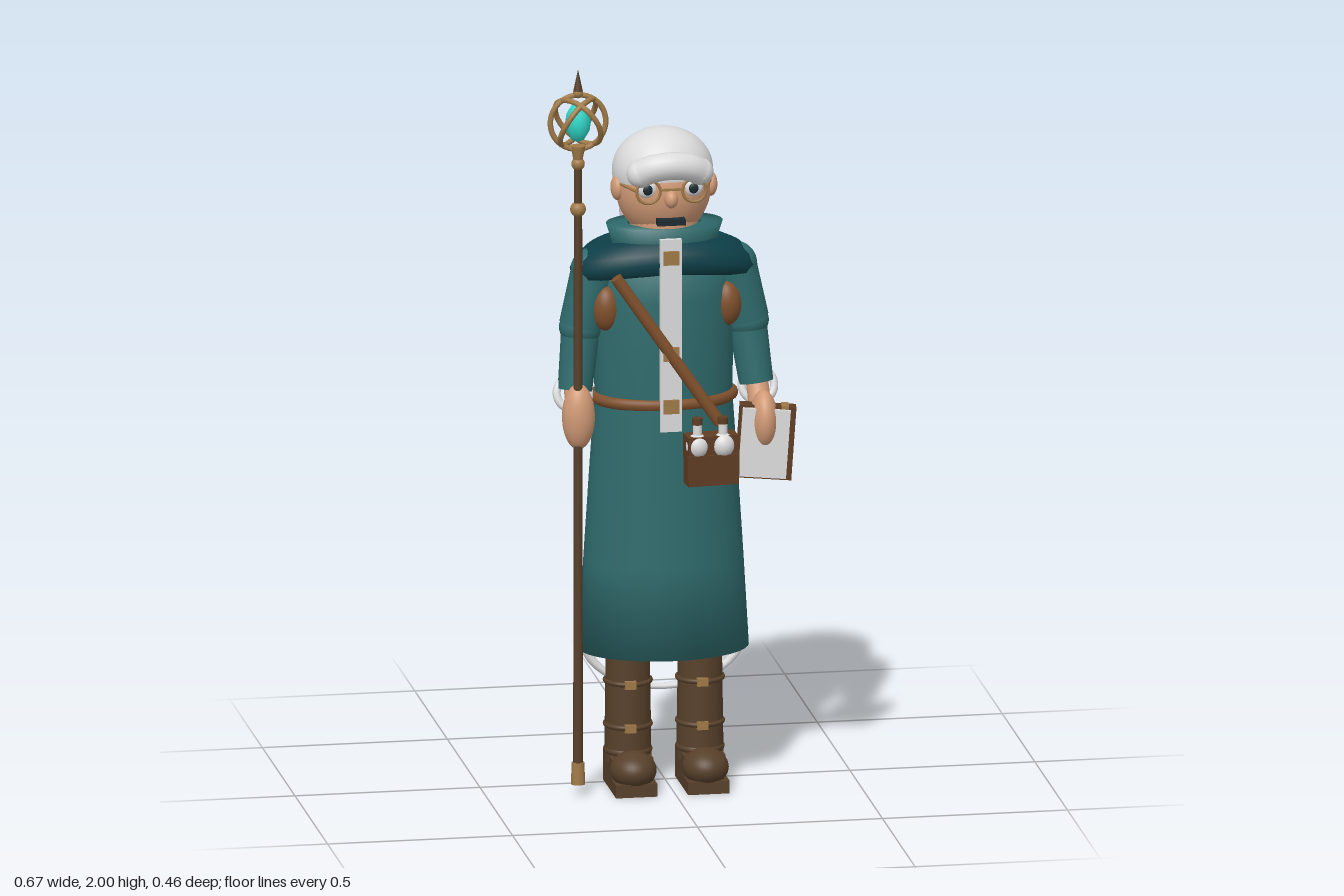
import * as THREE from 'three';

const mat = (name, color) => new THREE.MeshStandardMaterial({ name, color });
const M = {
  teal: mat('robe teal', 0x2f6a6c), dark: mat('mantle teal', 0x0d3f48),
  white: mat('white', 0xdcdcdc), skin: mat('skin', 0xd19a76),
  leather: mat('leather', 0x80502c), brown: mat('dark brown', 0x57402a),
  satchel: mat('satchel brown', 0x5f3d23), gold: mat('brass', 0xa07a48),
  cyan: mat('crystal', 0x30d8c8), black: mat('dark', 0x1c2a30),
};
M.teal.side = M.dark.side = THREE.DoubleSide;

export function createModel() {
  const root = new THREE.Group();
  const V = (a) => new THREE.Vector3(...a);
  const add = (name, geo, m, pos = [0, 0, 0], rot = [0, 0, 0], scl = [1, 1, 1], parent = root) => {
    const o = new THREE.Mesh(geo, m);
    o.name = name;
    o.position.set(...pos);
    o.rotation.set(...rot);
    o.scale.set(...scl);
    parent.add(o);
    return o;
  };
  const box = (name, size, m, pos, rot) => add(name, new THREE.BoxGeometry(...size), m, pos, rot);
  const ball = (name, r, m, pos, rot) => add(name, new THREE.SphereGeometry(1, 32, 20), m, pos, rot, r);
  const cyl = (name, rt, rb, h, m, pos, rot, scl) =>
    add(name, new THREE.CylinderGeometry(rt, rb, h, 32), m, pos, rot, scl);
  const ring = (name, R, t, m, pos, rot, scl) =>
    add(name, new THREE.TorusGeometry(R, t, 10, 40), m, pos, rot, scl);
  const lathe = (name, pts, m, pos, zs) =>
    add(name, new THREE.LatheGeometry(pts.map((p) => new THREE.Vector2(...p)), 48), m, pos, [0, 0, 0], [1, 1, zs]);
  // tapered limb between two points
  const limb = (name, a, b, ra, rb, m) => {
    const d = V(b).sub(V(a));
    const o = cyl(name, rb, ra, d.length(), m, V(a).add(V(b)).multiplyScalar(0.5).toArray());
    o.quaternion.setFromUnitVectors(new THREE.Vector3(0, 1, 0), d.normalize());
    return o;
  };

  // Robe
  const cx = -0.008;
  lathe('robeSkirt', [[0, 0.375], [0.229, 0.375], [0.215, 0.62], [0.197, 0.9], [0.185, 1.07]], M.teal, [cx, 0, 0.022], 0.73);
  lathe('robeTorso', [[0.185, 1.07], [0.187, 1.2], [0.183, 1.35], [0.165, 1.46], [0, 1.5]], M.teal, [cx, 0, 0.022], 0.7);
  lathe('collar', [[0.14, 1.47], [0.142, 1.5], [0.157, 1.548], [0.1, 1.548]], M.teal, [cx, 0, 0.035], 0.63);
  ring('beltStrap', 0.185, 0.016, M.leather, [cx, 1.07, 0.022], [Math.PI / 2, 0, 0], [1, 0.7, 1]);
  ring('hemHoop', 0.217, 0.013, M.white, [cx, 0.41, 0.02], [0, 0, 0], [1, 0.68, 1]);

  // Mantle, drooping towards the shoulders
  const mantle = lathe('mantle', [[0.14, 1.5], [0.17, 1.515], [0.21, 1.505], [0.24, 1.485], [0.252, 1.46],
    [0.245, 1.435], [0.22, 1.425], [0.15, 1.43]], M.dark, [cx, 0, 0.02], 0.54);
  const mp = mantle.geometry.attributes.position;
  for (let i = 0; i < mp.count; i++) {
    mp.setY(i, mp.getY(i) - 0.6 * mp.getX(i) ** 2);
  }
  mantle.geometry.computeVertexNormals();

  // Front stole with clasps, and the satchel strap
  box('stole', [0.058, 0.53, 0.014], M.white, [-0.012, 1.265, 0.156]);
  for (const y of [1.48, 1.215, 1.07]) box('clasp', [0.042, 0.038, 0.016], M.gold, [-0.012, y, 0.162]);
  const strap = limb('satchelStrap', [-0.16, 1.43, 0.15], [0.12, 1.02, 0.16], 0.016, 0.016, M.leather);
  strap.position.z += 0.006;

  // Cape and long hair behind
  cyl('cape', 0.125, 0.148, 0.525, M.dark, [cx, 1.198, -0.157], [0.02, 0, 0], [1, 1, 0.47]);
  cyl('backHair', 0.1, 0.07, 0.36, M.white, [cx, 1.42, -0.115], [0, 0, 0], [1, 1, 0.76]);

  // Head
  ball('head', [0.128, 0.14, 0.122], M.skin, [cx, 1.642, 0.018]);
  cyl('neck', 0.09, 0.09, 0.1, M.skin, [cx, 1.53, 0.03]);
  add('hairCap', new THREE.SphereGeometry(1, 40, 24, 0, Math.PI * 2, 0, Math.PI * 0.62), M.white,
    [cx, 1.685, 0.008], [-0.22, 0, 0], [0.135, 0.116, 0.128]);
  ball('napeHair', [0.12, 0.1, 0.09], M.white, [cx, 1.67, -0.03]);
  const lock = new THREE.CatmullRomCurve3([[-0.088, 1.705, 0.125], [-0.055, 1.722, 0.14], [cx, 1.729, 0.147],
    [0.04, 1.722, 0.14], [0.072, 1.705, 0.125]].map(V));
  add('forelock', new THREE.TubeGeometry(lock, 24, 0.037, 16), M.white);
  for (const x of [-0.088, 0.072]) ball('forelockEnd', [0.037, 0.037, 0.037], M.white, [x, 1.705, 0.125]);
  for (const s of [-1, 1]) {
    const x = cx + s * 0.062;
    ball('ear', [0.018, 0.034, 0.03], M.skin, [cx + s * 0.126, 1.645, 0.03]);
    ball('eye', [0.027, 0.024, 0.014], M.white, [x, 1.662, 0.124]);
    ball('pupil', [0.013, 0.014, 0.006], M.black, [x, 1.662, 0.136]);
    ring('spectacleRim', 0.032, 0.004, M.gold, [x, 1.66, 0.146]);
    limb('spectacleArm', [x + s * 0.03, 1.662, 0.146], [cx + s * 0.128, 1.66, 0.03], 0.004, 0.004, M.gold);
  }
  box('spectacleBridge', [0.06, 0.006, 0.006], M.gold, [cx, 1.664, 0.148]);
  ball('nose', [0.018, 0.024, 0.022], M.skin, [cx, 1.636, 0.143]);
  box('mouth', [0.076, 0.016, 0.03], M.black, [cx, 1.573, 0.136]);

  // Arms, cuffs and hands
  for (const s of [-1, 1]) {
    const x = (v) => cx + s * v;
    ball('shoulder', [0.062, 0.062, 0.06], M.teal, [x(0.19), 1.42, 0.028]);
    limb('upperSleeve', [x(0.19), 1.42, 0.028], [x(0.225), 1.27, 0.03], 0.06, 0.058, M.teal);
    ball('elbow', [0.058, 0.05, 0.058], M.teal, [x(0.225), 1.265, 0.03]);
    limb('forearmSleeve', [x(0.225), 1.26, 0.03], [x(0.245), 1.1, 0.055], 0.052, 0.046, M.teal);
    ball('chestPatch', [0.04, 0.062, 0.04], M.leather, [x(0.163), 1.325, 0.07]);
    ring('cuff', 0.044, 0.011, M.white, [x(0.25), 1.09, 0.053], [-0.37, 0, 0]);
    limb('wrist', [x(0.245), 1.12, 0.055], [x(0.248), 1.04, 0.1], 0.03, 0.03, M.skin);
  }
  ball('rightHand', [0.044, 0.09, 0.042], M.skin, [-0.253, 1.04, 0.11]);
  ball('leftHand', [0.037, 0.08, 0.06], M.skin, [0.244, 1.015, 0.13]);

  // Boots
  for (const x of [-0.107, 0.088]) {
    cyl('bootShaft', 0.058, 0.063, 0.36, M.brown, [x, 0.25, 0.038]);
    ring('bootCuff', 0.055, 0.011, M.brown, [x, 0.1, 0.038], [Math.PI / 2, 0, 0]);
    box('bootSole', [0.112, 0.035, 0.2], M.brown, [x, 0.0175, 0.076]);
    box('bootFoot', [0.112, 0.06, 0.14], M.brown, [x, 0.06, 0.046]);
    ball('bootToe', [0.062, 0.05, 0.07], M.brown, [x, 0.063, 0.122]);
    for (const y of [0.29, 0.17]) {
      ring('bootStrap', 0.06, 0.007, M.brown, [x, y, 0.038], [Math.PI / 2, 0, 0]);
      box('bootBuckle', [0.03, 0.022, 0.012], M.gold, [x - 0.004, y, 0.102]);
    }
  }

  // Satchel with flasks
  box('satchel', [0.138, 0.135, 0.062], M.satchel, [0.092, 0.928, 0.182], [0, 0.09, 0]);
  box('satchelFlap', [0.142, 0.06, 0.01], M.satchel, [0.093, 0.915, 0.215], [0, 0.09, 0]);
  for (const x of [0.053, 0.122]) {
    ball('flask', [0.031, 0.034, 0.03], M.white, [x, 0.968, 0.197]);
    cyl('flaskNeck', 0.012, 0.012, 0.04, M.white, [x, 1.012, 0.197]);
    cyl('flaskCork', 0.014, 0.014, 0.018, M.satchel, [x, 1.036, 0.197]);
  }

  // Book held in the left hand
  const book = new THREE.Group();
  book.name = 'book';
  book.position.set(0.248, 0.957, 0.135);
  book.rotation.set(0, -0.13, -0.07);
  root.add(book);
  const bookPart = (name, size, m, pos) => add(name, new THREE.BoxGeometry(...size), m, pos, [0, 0, 0], [1, 1, 1], book);
  bookPart('bookCover', [0.15, 0.2, 0.042], M.satchel, [0, 0, 0]);
  bookPart('bookPages', [0.128, 0.188, 0.014], M.white, [-0.004, 0, 0.026]);
  bookPart('bookClasp', [0.02, 0.03, 0.046], M.gold, [0.045, 0.088, 0]);

  // Staff
  const sx = -0.256, sz = 0.12;
  cyl('staffShaft', 0.011, 0.013, 1.72, M.brown, [sx, 0.92, sz]);
  cyl('staffFerrule', 0.017, 0.019, 0.06, M.gold, [sx, 0.06, sz]);
  for (const [y, r] of [[1.615, 0.021], [1.74, 0.018]]) ball('staffKnot', [r, r, r], M.gold, [sx, y, sz]);
  cyl('staffSocket', 0.02, 0.012, 0.04, M.gold, [sx, 1.77, sz]);
  for (const [tilt, turn] of [[0, 0], [0.5, 0.9], [0.5, -0.9]]) {
    ring('staffRing', 0.075, 0.0075, M.gold, [sx, 1.855, sz]).rotation.set(tilt, turn, 0, 'YXZ');
  }
  add('staffCrystal', new THREE.OctahedronGeometry(1, 2), M.cyan, [sx, 1.855, sz], [0, 0, 0], [0.035, 0.055, 0.035]);
  ball('spikeBase', [0.014, 0.014, 0.014], M.gold, [sx, 1.935, sz]);
  add('staffSpike', new THREE.ConeGeometry(0.013, 0.06, 16), M.brown, [sx, 1.97, sz]);

  return root;
}
